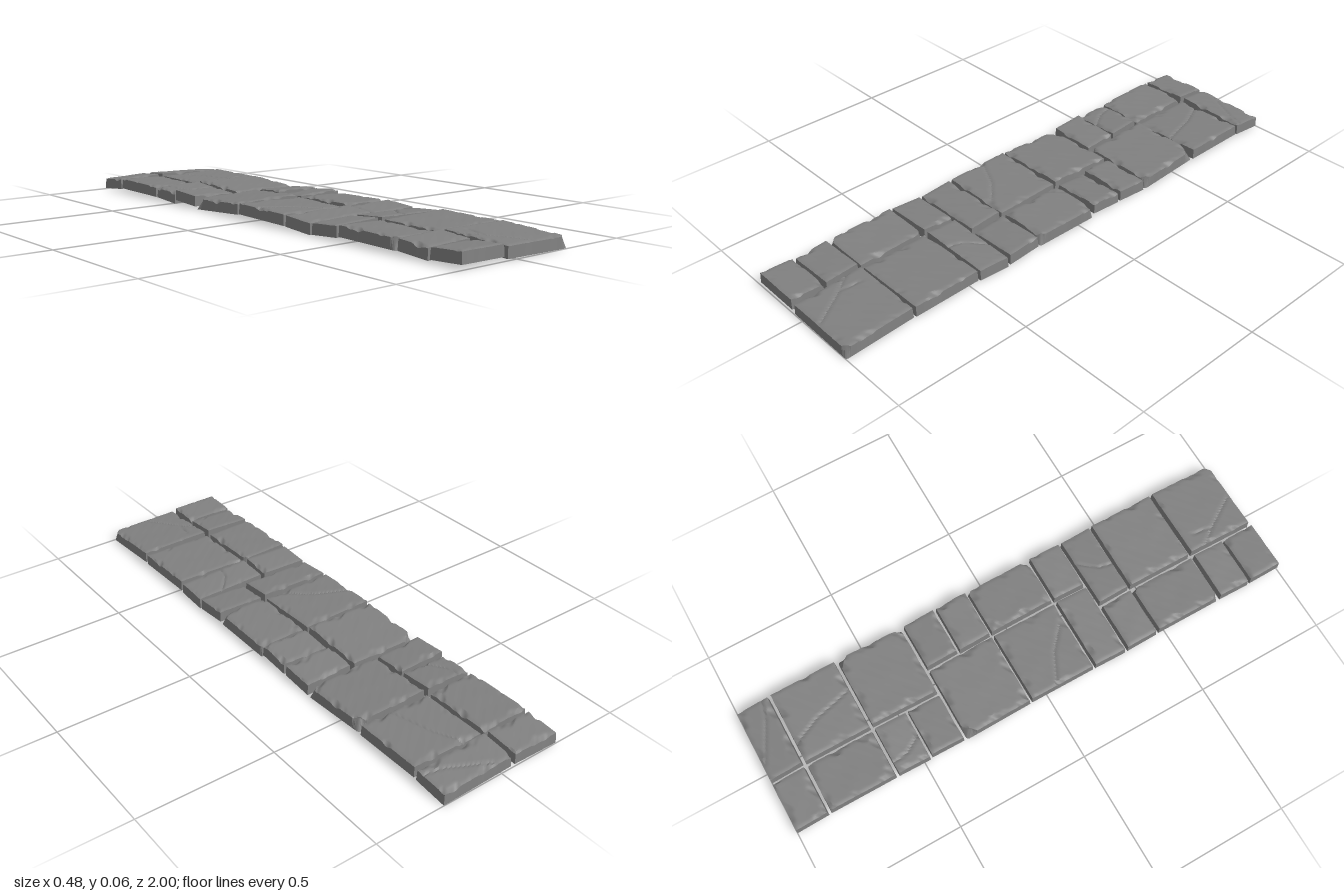
import * as THREE from 'three';
import { toCreasedNormals } from 'three/addons/utils/BufferGeometryUtils.js';

const THICK = 0.042, STEP = 0.007;

// Slabs: x0, x1, z0, z1, mid height of the base, rise towards +x, rise towards the back
const SLABS = [
  // back bay
  [-0.24, -0.055, -1.0, -0.875, 0.011, 0.003, -0.005],
  [-0.24, -0.055, -0.865, -0.61, 0.012, -0.003, 0.002],
  [-0.24, -0.055, -0.6, -0.475, 0.012, 0.004, 0.005],
  [-0.24, -0.055, -0.468, -0.34, 0.010, -0.004, 0.004],
  [-0.04, 0.24, -1.0, -0.875, 0.011, -0.004, -0.006],
  [-0.04, 0.24, -0.865, -0.61, 0.012, 0.003, 0.001],
  [-0.04, 0.24, -0.6, -0.34, 0.011, -0.002, 0.008],
  // middle bay
  [-0.24, 0.04, -0.33, -0.07, 0.011, 0.003, -0.007],
  [-0.24, 0.04, -0.062, 0.192, 0.012, -0.003, 0.003],
  [-0.24, 0.04, 0.202, 0.33, 0.009, 0.003, 0.005],
  [0.055, 0.24, -0.33, -0.205, 0.010, -0.003, -0.005],
  [0.055, 0.24, -0.195, -0.07, 0.012, 0.004, -0.005],
  [0.055, 0.24, -0.062, 0.192, 0.012, -0.002, -0.002],
  [0.055, 0.24, 0.202, 0.33, 0.008, 0.003, 0.005],
  // front bay
  [-0.24, -0.055, 0.34, 0.462, 0.011, 0.003, -0.004],
  [-0.24, -0.055, 0.472, 0.73, 0.012, -0.003, 0.002],
  [-0.24, -0.055, 0.74, 0.866, 0.013, 0.003, 0.005],
  [-0.24, -0.055, 0.874, 1.0, 0.012, -0.001, -0.003],
  [-0.04, 0.24, 0.34, 0.462, 0.010, -0.004, -0.004],
  [-0.04, 0.24, 0.472, 0.73, 0.012, 0.002, 0.002],
  [-0.04, 0.24, 0.74, 1.0, 0.010, -0.002, 0.007],
];

// Broken corners: x, z, size
const CHIPS = [
  [-0.24, -0.33, 0.045], [0.24, -0.6, 0.04], [0.24, -0.34, 0.03], [-0.04, -0.34, 0.015],
  [0.24, 1, 0.025], [0.24, 0.192, 0.03], [-0.24, 0.73, 0.025], [-0.055, 0.472, 0.02],
  [0.24, -0.062, 0.015],
];

// Cracks as polylines of x, z
const CRACKS = [
  [[0.02, -0.99], [0.1, -0.95], [0.17, -0.915], [0.24, -0.9]],
  [[0.03, -0.865], [0.08, -0.76], [0.1, -0.68], [0.12, -0.61]],
  [[-0.2, -0.6], [-0.19, -0.54], [-0.15, -0.475]],
  [[-0.24, 0.04], [-0.12, 0.1], [-0.04, 0.17]],
  [[0.14, 0.34], [0.08, 0.41], [0.07, 0.46]],
  [[-0.04, 0.8], [0.02, 0.88], [0.09, 0.99]],
  [[0.02, 0.78], [0.01, 0.86]],
];

const segments = CRACKS.flatMap(c => c.slice(1).map((p, i) => [...c[i], ...p]));

function crackDistance(x, z) {
  let best = 1;
  for (const [ax, az, bx, bz] of segments) {
    const dx = bx - ax, dz = bz - az;
    const t = THREE.MathUtils.clamp(((x - ax) * dx + (z - az) * dz) / (dx * dx + dz * dz), 0, 1);
    best = Math.min(best, Math.hypot(x - ax - t * dx, z - az - t * dz));
  }
  return best;
}

// Smooth, repeatable unevenness between about -1 and 1
function noise(x, z, seed) {
  return (Math.sin(x * 47 + seed * 2.3 + Math.sin(z * 31 + seed)) +
    Math.sin(z * 53 - seed * 1.7 + Math.sin(x * 39 - seed)) +
    0.6 * Math.sin(x * 109 + z * 127 + seed * 5.1)) / 2.6;
}

function slabGeometry([x0, x1, z0, z1, base, riseX, riseBack], seed) {
  const w = x1 - x0, d = z1 - z0, cx = (x0 + x1) / 2, cz = (z0 + z1) / 2;
  const geo = new THREE.BoxGeometry(w, THICK, d, Math.round(w / STEP), 1, Math.round(d / STEP));
  geo.translate(cx, THICK / 2, cz);
  const pos = geo.attributes.position;
  for (let i = 0; i < pos.count; i++) {
    let x = pos.getX(i), y = pos.getY(i), z = pos.getZ(i);
    const top = y > THICK / 2;
    const edge = Math.min(x - x0, x1 - x, z - z0, z1 - z);
    if (top) {
      // slightly worn rim with deeper dips here and there, and cracks
      const n = noise(x, z, seed);
      const dip = Math.max(0, n - 0.1);
      const wear = 0.009 + 0.022 * dip;
      y += 0.0006 * n;
      if (edge < wear) y -= (0.003 + 0.013 * dip) * (1 - edge / wear);
      const crack = crackDistance(x, z);
      if (crack < 0.007) y -= 0.005 * (1 - crack / 0.007);
      // top outline leans slightly inward
      const lean = 0.002 + 0.001 * n;
      x -= lean * (x - cx) / (w / 2);
      z -= lean * (z - cz) / (d / 2);
    }
    // broken corners, cut mostly at the top
    for (const [px, pz, size] of CHIPS) {
      if (px < x0 - 0.001 || px > x1 + 0.001 || pz < z0 - 0.001 || pz > z1 + 0.001) continue;
      const cut = size * (top ? 1 : 0.15) - Math.abs(x - px) - Math.abs(z - pz);
      if (cut > 0) {
        x += Math.sign(cx - px) * cut / 2;
        z += Math.sign(cz - pz) * cut / 2;
      }
    }
    // settle the slab at a slight tilt
    y += base + riseX * (x - cx) / (w / 2) - riseBack * (z - cz) / (d / 2);
    pos.setXYZ(i, x, Math.max(0, y), z);
  }
  // creasing merges points closer than 0.01, so it is done at a larger scale
  geo.scale(100, 100, 100);
  return toCreasedNormals(geo, 0.6).scale(0.01, 0.01, 0.01);
}

export function createModel() {
  const model = new THREE.Group();
  model.name = 'stonePath';
  const stone = new THREE.MeshStandardMaterial({ color: 0x808080 });
  SLABS.forEach((slab, i) => {
    const mesh = new THREE.Mesh(slabGeometry(slab, i + 1), stone);
    mesh.name = `pavingSlab${i + 1}`;
    model.add(mesh);
  });
  // rest the lowest slab on the ground
  model.position.y = -new THREE.Box3().setFromObject(model).min.y;
  return model;
}
